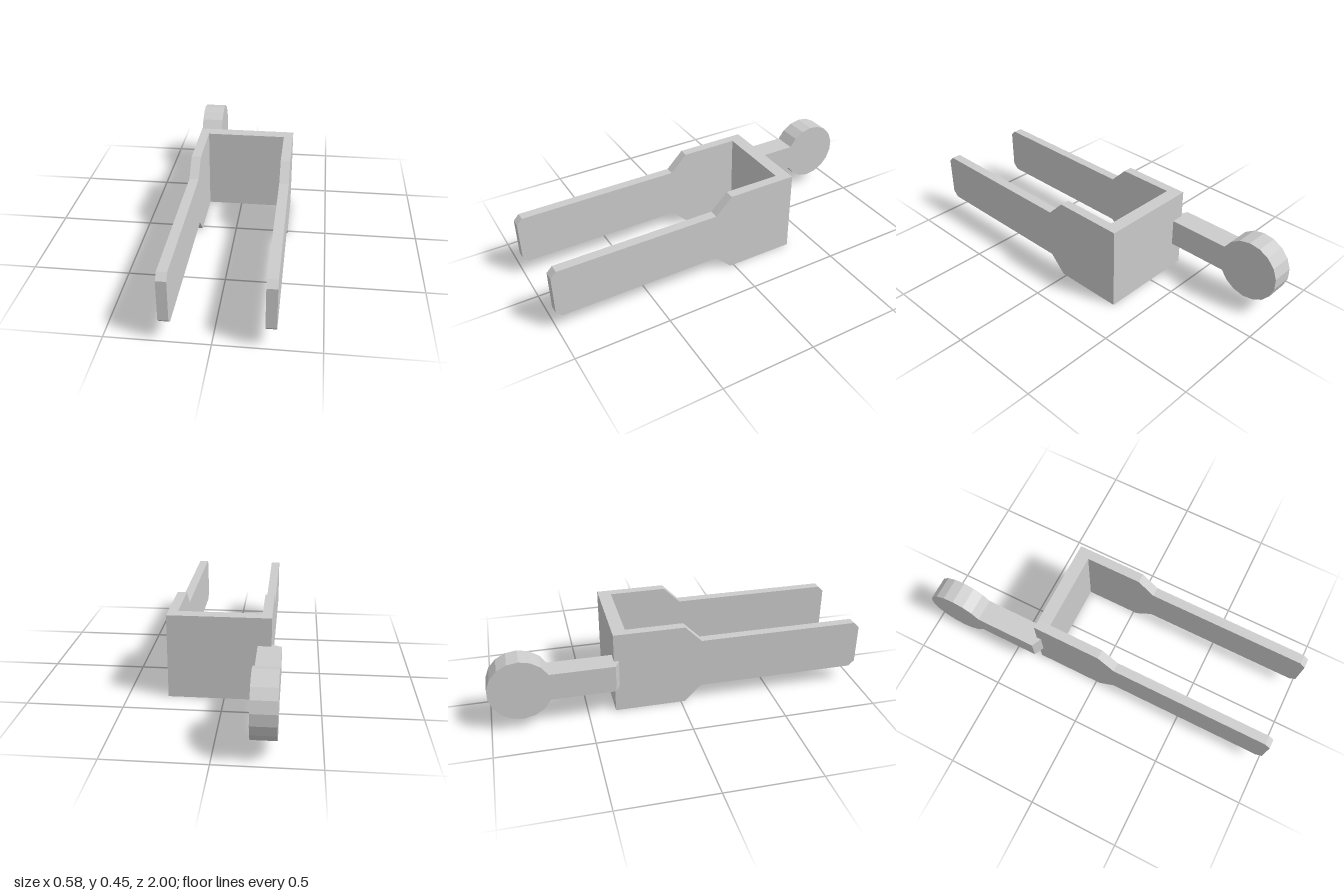
import * as THREE from 'three';

const material = new THREE.MeshStandardMaterial({ color: 0xcccccc, flatShading: true });

// Extrudes a side profile of [z, y] points across x0..x1
function sidePlate(name, points, x0, x1) {
  const shape = new THREE.Shape(points.map(([z, y]) => new THREE.Vector2(z, y)));
  const geometry = new THREE.ExtrudeGeometry(shape, { depth: x1 - x0, bevelEnabled: false });
  geometry.rotateY(-Math.PI / 2).translate(x1, 0, 0);
  const mesh = new THREE.Mesh(geometry, material);
  mesh.name = name;
  return mesh;
}

export function createModel() {
  const group = new THREE.Group();
  group.name = 'forkBracket';

  // Two long arms with chamfered tips and a taller root
  const arm = [
    [-0.355, 0], [0.02, 0], [0.11, 0.09], [0.97, 0.09], [1, 0.12],
    [1, 0.33], [0.97, 0.36], [0.11, 0.36], [0.02, 0.45], [-0.355, 0.45],
  ];
  group.add(sidePlate('rightArm', arm, -0.24, -0.19));
  group.add(sidePlate('leftArm', arm, 0.24, 0.291));

  // Back plate joining the arms
  const plate = new THREE.Mesh(new THREE.BoxGeometry(0.43, 0.45, 0.07), material);
  plate.name = 'backPlate';
  plate.position.set(0.025, 0.225, -0.32);
  group.add(plate);

  // Rear lever: a straight neck that runs into a faceted round head
  const radius = 0.165, centreZ = -0.8376, centreY = 0.227, halfNeck = 0.0735, segments = 15;
  const start = Math.asin(halfNeck / radius);
  const lever = [[-0.355, centreY - halfNeck], [-0.355, centreY + halfNeck]];
  for (let i = 0; i <= segments; i++) {
    const a = start + (i / segments) * (2 * Math.PI - 2 * start);
    lever.push([centreZ + radius * Math.cos(a), centreY + radius * Math.sin(a)]);
  }
  const leverMesh = sidePlate('rearLever', lever, -0.293, -0.17);

  // Slant the neck's root so that it meets the corner of the bracket
  const position = leverMesh.geometry.attributes.position;
  for (let i = 0; i < position.count; i++) {
    if (position.getZ(i) > -0.5) position.setZ(i, -0.355 + 0.48 * (position.getX(i) + 0.293));
  }
  leverMesh.geometry.computeVertexNormals();
  group.add(leverMesh);

  return group;
}
